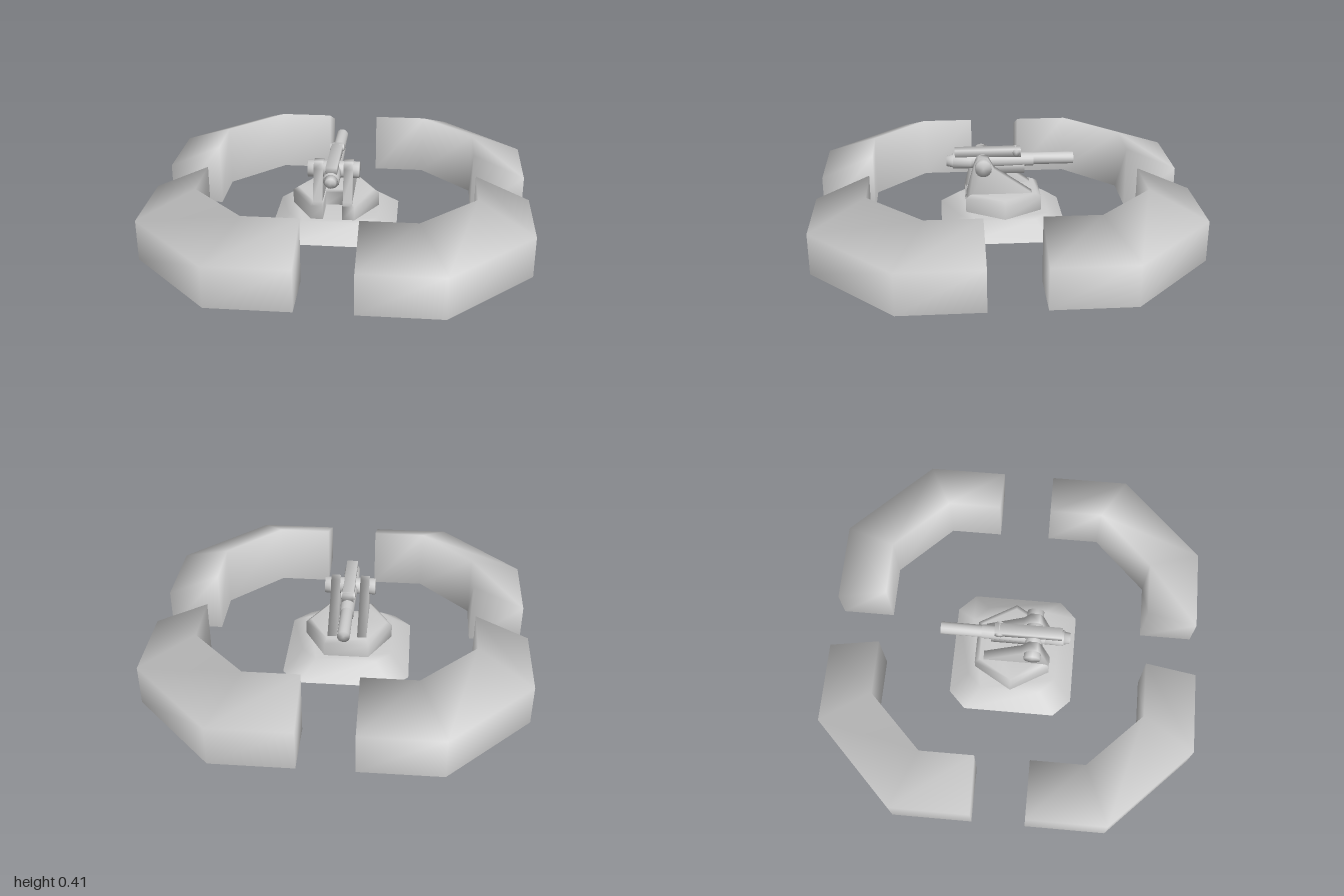
import * as THREE from 'three';
import { mergeGeometries, mergeVertices } from 'three/addons/utils/BufferGeometryUtils.js';

const stone = new THREE.MeshStandardMaterial({ color: 0xcccccc, side: THREE.DoubleSide });
stone.name = 'pale grey';
const GX = -0.037; // gun centre line

// Weld the pieces into one softly shaded skin
function weld(...pieces) {
  for (const p of pieces) {
    p.deleteAttribute('normal');
    p.deleteAttribute('uv');
  }
  const g = mergeVertices(mergeGeometries(pieces), 1e-4);
  g.computeVertexNormals();
  return g;
}

function add(parent, name, geo, x = 0, y = 0, z = 0) {
  const m = new THREE.Mesh(geo, stone);
  m.name = name;
  m.position.set(x, y, z);
  parent.add(m);
  return m;
}

// Surface through rows of [x, y, z] points
function loft(rows, closed = false) {
  const n = rows[0].length, idx = [];
  for (let j = 0; j < rows.length - 1; j++) {
    for (let i = 0; i < (closed ? n : n - 1); i++) {
      const k = (i + 1) % n, a = j * n + i, b = j * n + k, c = a + n, d = b + n;
      idx.push(a, b, d, a, d, c);
    }
  }
  const g = new THREE.BufferGeometry();
  g.setAttribute('position', new THREE.Float32BufferAttribute(rows.flat(2), 3));
  g.setIndex(idx);
  return g;
}

// Horizontal lid from [x, z] points
function lid(points, y) {
  const s = new THREE.Shape(points.map(([x, z]) => new THREE.Vector2(x, -z)));
  return new THREE.ShapeGeometry(s).rotateX(-Math.PI / 2).translate(0, y, 0);
}

const at = (points, y) => points.map(([x, z]) => [x, y, z]);

// Angled earth bank for one corner, open underneath
function rampart() {
  const outer = [[0.143, 1], [0.57, 1], [1, 0.57], [1, 0.143]];
  const inner = [[0.143, 0.715], [0.43, 0.715], [0.715, 0.43], [0.715, 0.143]];
  const o0 = at(outer, 0), o1 = at(outer, 0.22), n1 = at(inner, 0.345), n0 = at(inner, 0);
  return weld(
    loft([o0, o1, n1, n0]),
    loft([[n0[0], o0[0]], [n1[0], o1[0]]]),
    loft([[o0[3], n0[3]], [o1[3], n1[3]]]),
  );
}

// Square with cut corners, running counterclockwise from above
function cutSquare(r, cut) {
  const q = r - cut;
  return [[-q, r], [q, r], [r, q], [r, -q], [q, -r], [-q, -r], [-r, -q], [-r, q]]
    .map(([x, z]) => [x + GX, z]);
}

// Hexagon with a slot cut into its front
function slotHex(inset) {
  const w = 0.238 - inset * 1.15, h = 0.205 - inset, s = 0.118 - inset * 0.5;
  return [[0.052, h], [s, h], [w, 0], [s, -h], [-s, -h], [-w, 0], [-s, h],
    [-0.052, h], [-0.052, 0.02], [0.052, 0.02]].map(([x, z]) => [x + GX, z]);
}

// Cylinder lying along z, between two z positions
function tubeZ(g, name, r0, r1, z0, z1, y) {
  const geo = new THREE.CylinderGeometry(r1, r0, z1 - z0, 16).rotateX(Math.PI / 2);
  add(g, name, weld(geo), GX, y, (z0 + z1) / 2);
}

// Cylinder lying across the gun
function tubeX(g, name, r, length, x, y, z) {
  const geo = new THREE.CylinderGeometry(r, r, length, 16).rotateZ(Math.PI / 2);
  add(g, name, weld(geo), x, y, z);
}

export function createModel() {
  const model = new THREE.Group();
  model.name = 'gunEmplacement';

  const bank = rampart();
  for (let i = 0; i < 4; i++) add(model, 'rampart', bank).rotation.y = i * Math.PI / 2;

  // Sloping footing
  const top = cutSquare(0.24, 0.08);
  add(model, 'footing', weld(loft([at(cutSquare(0.34, 0.092), 0), at(top, 0.09)], true), lid(top, 0.09)));

  // Slotted pedestal with a bevelled rim
  const big = slotHex(0), small = slotHex(0.026);
  add(model, 'pedestal', weld(
    loft([at(big, 0.09), at(big, 0.165), at(small, 0.185)], true), lid(small, 0.185)));

  // Cheeks and trunnions on both sides
  const gun = new THREE.Group();
  gun.name = 'gun';
  const cheek = new THREE.Shape([[0.2, 0.09], [0.2, 0.19], [0.155, 0.36], [0.135, 0.395],
    [0.085, 0.395], [0.05, 0.33], [-0.165, 0.18], [-0.165, 0.09]]
    .map(([z, y]) => new THREE.Vector2(z, y)));
  for (const s of [-1, 1]) {
    const geo = new THREE.ExtrudeGeometry(cheek, { depth: 0.05, bevelEnabled: false });
    geo.translate(0, 0, -0.025).rotateY(-Math.PI / 2);
    add(gun, 'cheek', weld(geo), GX + s * 0.08);
    tubeX(gun, 'trunnionCap', 0.045, 0.07, GX + s * 0.103, 0.345, 0.11);
  }
  tubeX(gun, 'axle', 0.045, 0.12, GX, 0.345, 0.11);

  // Barrel, sleeve and breech
  tubeZ(gun, 'barrel', 0.033, 0.033, -0.39, -0.1, 0.348);
  tubeZ(gun, 'sleeve', 0.037, 0.043, -0.17, 0.2, 0.345);
  tubeZ(gun, 'breech', 0.043, 0.043, 0.17, 0.27, 0.345);
  tubeZ(gun, 'breechPlug', 0.036, 0.028, 0.27, 0.305, 0.345);
  add(gun, 'cradle', weld(new THREE.BoxGeometry(0.06, 0.06, 0.28)), GX, 0.305, 0.02);
  add(gun, 'recoilBox', weld(new THREE.BoxGeometry(0.06, 0.045, 0.36)), GX, 0.392, 0.08);
  tubeX(gun, 'sightRoller', 0.02, 0.075, GX, 0.395, -0.075);
  model.add(gun);

  return model;
}
